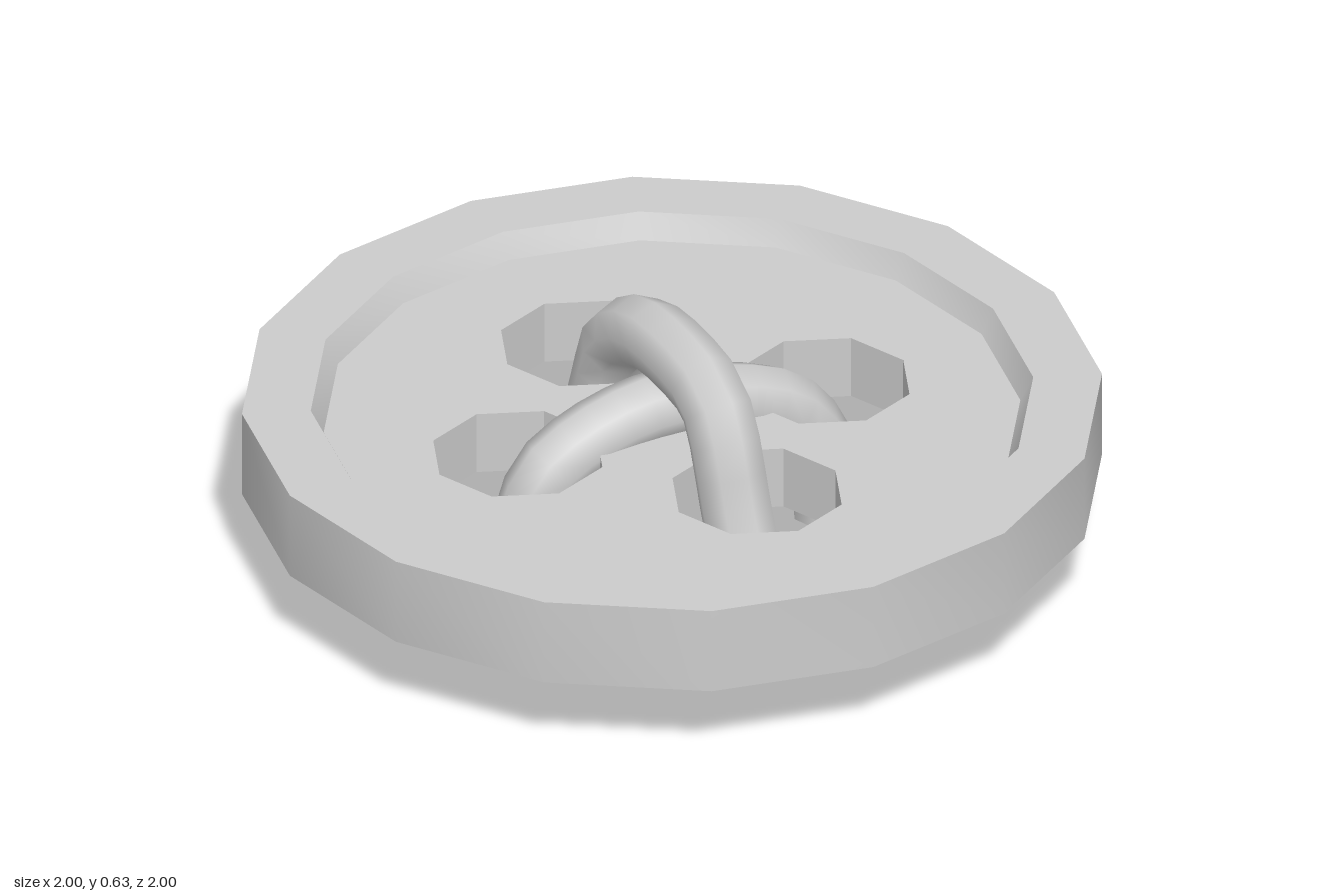
import * as THREE from 'three';
import { toCreasedNormals } from 'three/addons/utils/BufferGeometryUtils.js';

const BASE = 0.2, FLOOR = 0.355, TOP = 0.415;
const HOLE_X = 0.29, HOLE_Z = 0.265, HOLE_R = 0.205, HOLE_SHIFT = 0.005;
const THREAD_R = 0.086;

// Regular polygon points with a corner on the vertical axis
function polygon(radius, sides, cx = 0, cy = 0) {
  return Array.from({ length: sides }, (_, i) => {
    const a = Math.PI / 2 + (i / sides) * Math.PI * 2;
    return new THREE.Vector2(cx + radius * Math.cos(a), cy + radius * Math.sin(a));
  });
}

const holeCentres = [];
for (const sx of [-1, 1]) for (const sz of [-1, 1]) {
  holeCentres.push([sx * HOLE_X, sz * HOLE_Z + HOLE_SHIFT]);
}

// Flat 16-sided face with four octagonal holes
function piercedFace(radius, y, up) {
  const shape = new THREE.Shape(polygon(radius, 16));
  for (const [x, z] of holeCentres) {
    shape.holes.push(new THREE.Path(polygon(HOLE_R, 8, x, up ? -z : z)));
  }
  const g = new THREE.ShapeGeometry(shape);
  g.rotateX(up ? -Math.PI / 2 : Math.PI / 2);
  return g.translate(0, y, 0);
}

export function createModel() {
  const group = new THREE.Group();
  const grey = new THREE.MeshStandardMaterial({ color: 0xcccccc });
  grey.name = 'grey';

  function add(name, geometry, parent = group) {
    const mesh = new THREE.Mesh(geometry, grey);
    mesh.name = name;
    parent.add(mesh);
    return mesh;
  }

  // Button disc: outer wall, flat rim and sloped step down to the floor
  const profile = [[1, BASE], [1, TOP], [0.84, TOP], [0.81, FLOOR]]
    .map(([r, y]) => new THREE.Vector2(r, y));
  add('rim', toCreasedNormals(new THREE.LatheGeometry(profile, 16), 0.5));
  add('recessedFloor', piercedFace(0.81, FLOOR, true));
  add('underside', piercedFace(1, BASE, false));

  // Inward-facing walls of the holes
  for (const [x, z] of holeCentres) {
    const wall = new THREE.CylinderGeometry(HOLE_R, HOLE_R, FLOOR - BASE, 8, 1, true);
    wall.scale(-1, 1, 1);
    add('holeWall', toCreasedNormals(wall, 0.5)).position.set(x, (BASE + FLOOR) / 2, z);
  }

  // Crossed threads: [x, y] along a diagonal, zSide picks which diagonal
  function addThread(name, path, zSide) {
    const thread = new THREE.Group();
    thread.name = name;
    const points = path.map(([x, y]) =>
      new THREE.Vector3(x, y, zSide * x * 0.945 + 0.008));
    const curve = new THREE.CatmullRomCurve3(points, false, 'centripetal');
    add('strand', new THREE.TubeGeometry(curve, 20, THREAD_R, 8, false), thread);
    for (const end of [points[0], points[points.length - 1]]) {
      const cap = add('cutEnd', new THREE.CircleGeometry(THREAD_R, 8), thread);
      cap.rotation.x = Math.PI / 2;
      cap.position.copy(end);
    }
    group.add(thread);
  }

  addThread('upperThread', [
    [-0.297, 0], [-0.297, 0.07], [-0.25, 0.19], [-0.215, 0.32], [-0.185, 0.43],
    [-0.09, 0.525], [0.06, 0.537], [0.145, 0.505], [0.185, 0.42], [0.215, 0.3],
    [0.25, 0.18], [0.297, 0.07], [0.297, 0],
  ], 1);
  addThread('lowerThread', [
    [-0.297, 0], [-0.297, 0.07], [-0.265, 0.18], [-0.235, 0.28], [-0.15, 0.355],
    [-0.03, 0.395], [0.1, 0.375], [0.21, 0.315], [0.265, 0.22], [0.295, 0.08], [0.295, 0],
  ], -1);

  return group;
}
